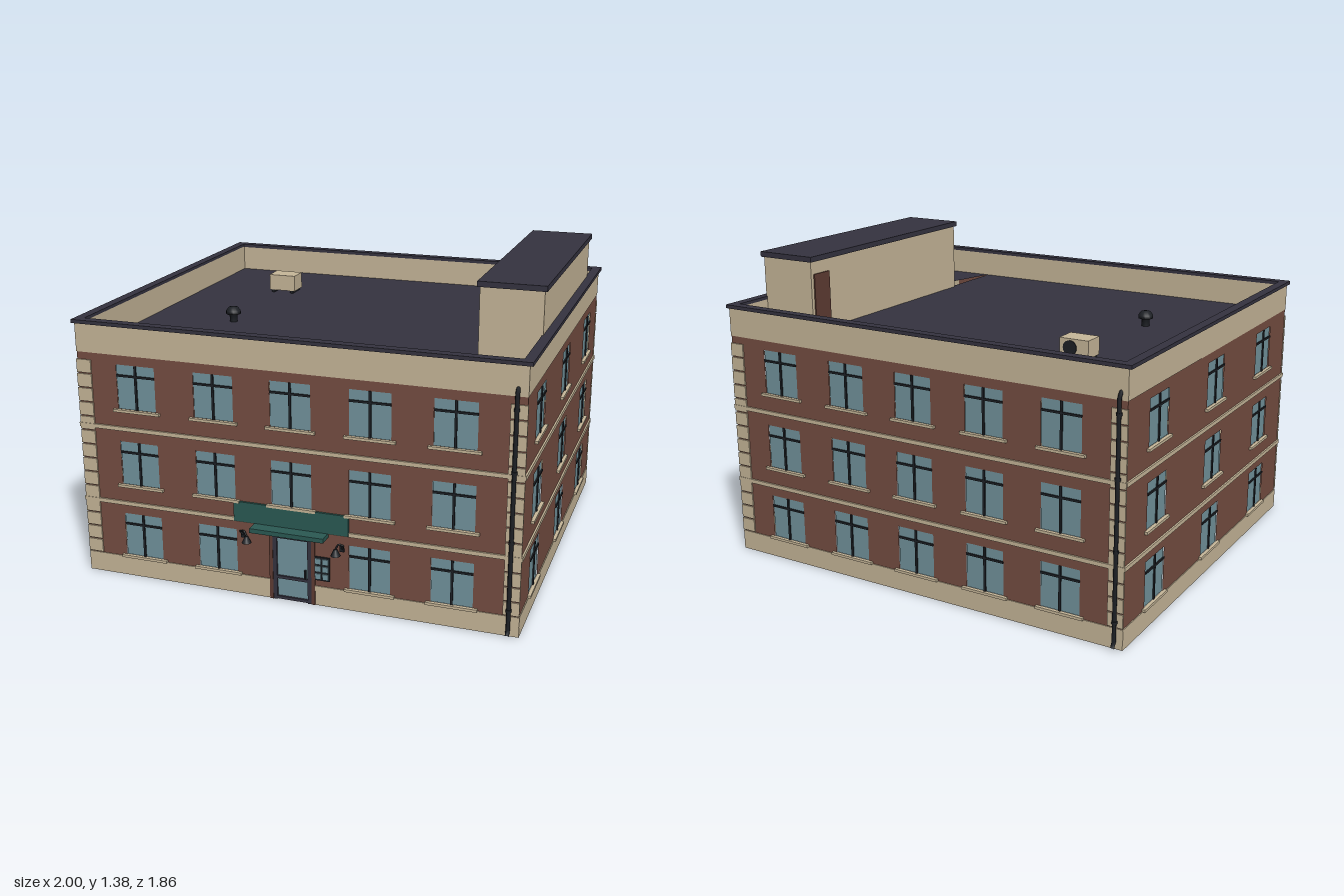
import * as THREE from 'three';

const mat = (name, color, side = THREE.FrontSide) => {
  const m = new THREE.MeshStandardMaterial({ color, side });
  m.name = name;
  return m;
};

export function createModel() {
  const stone = mat('stone', 0xc8b89a);
  const brick = mat('brick', 0x764e42, THREE.DoubleSide);
  const glass = mat('glass', 0x73959e, THREE.DoubleSide);
  const slate = mat('slate', 0x353340, THREE.DoubleSide);
  const iron = mat('iron', 0x1d2025);
  const green = mat('green', 0x2b5a54);
  const wood = mat('wood', 0x5f3c33);

  const model = new THREE.Group();
  model.name = 'apartmentBuilding';

  const add = (parent, name, geo, material, x = 0, y = 0, z = 0) => {
    const m = new THREE.Mesh(geo, material);
    m.name = name;
    m.position.set(x, y, z);
    parent.add(m);
    return m;
  };
  // box given by its min and max along each axis
  const box = (parent, name, material, x0, x1, y0, y1, z0, z1) =>
    add(parent, name, new THREE.BoxGeometry(x1 - x0, y1 - y0, z1 - z0), material,
      (x0 + x1) / 2, (y0 + y1) / 2, (z0 + z1) / 2);
  const poly = (pts) => pts.map(([x, y]) => new THREE.Vector2(x, y));
  const tube = (parent, name, pts, r, material) =>
    add(parent, name, new THREE.TubeGeometry(
      new THREE.CatmullRomCurve3(pts.map((p) => new THREE.Vector3(...p)), false, 'catmullrom', 0.2),
      32, r, 8), material);

  const HX = 0.985, Z0 = -0.9, Z1 = 0.86, ZC = (Z0 + Z1) / 2, HZ = (Z1 - Z0) / 2;
  const floors = [[0.1, 0.3], [0.44, 0.64], [0.79, 0.99]];
  const W = 0.09; // half window width
  const D = 0.088; // half door width

  // One wall in its own plane, facing local +z
  function facade(name, hw, columns, { door = false, quoins = false } = {}) {
    const g = new THREE.Group();
    g.name = name;
    const outline = door
      ? [[-hw, 0.09], [-D, 0.09], [-D, 0.305], [D, 0.305], [D, 0.09], [hw, 0.09], [hw, 1.04], [-hw, 1.04]]
      : [[-hw, 0.09], [hw, 0.09], [hw, 1.04], [-hw, 1.04]];
    const wall = new THREE.Shape(poly(outline));
    floors.forEach(([b, t], f) => columns.forEach((cx) => {
      if (door && f === 0 && cx === 0) return;
      wall.holes.push(new THREE.Path(poly([[cx - W, b], [cx - W, t], [cx + W, t], [cx + W, b]])));
      const win = new THREE.Group();
      win.name = 'window';
      win.position.x = cx;
      g.add(win);
      add(win, 'pane', new THREE.PlaneGeometry(2 * W, t - b), glass, 0, (b + t) / 2, -0.003);
      box(win, 'mullion', iron, -0.005, 0.005, b, t, -0.002, 0.004);
      box(win, 'transom', iron, -W, W, t - 0.053, t - 0.044, -0.002, 0.004);
      box(win, 'sill', stone, -0.11, 0.11, b - 0.012, b, -0.002, 0.014);
    }));
    add(g, 'brickWall', new THREE.ShapeGeometry(wall), brick);

    // stone base, split around the door
    const spans = door ? [[-hw - 0.003, -D], [D, hw + 0.003]] : [[-hw - 0.003, hw + 0.003]];
    spans.forEach(([a, b]) => box(g, 'plinth', stone, a, b, 0, 0.09, -0.004, 0.004));
    for (const y of [0.341, 0.691])
      box(g, 'stringCourse', stone, -hw - 0.006, hw + 0.006, y, y + 0.018, -0.003, 0.008);
    if (quoins) for (const s of [-1, 1]) for (let i = 0; i < 14; i++) {
      const a = s * (hw - 0.066), b = s * (hw + 0.003), y = 0.095 + i * 0.065;
      box(g, 'quoin', stone, Math.min(a, b), Math.max(a, b), y, y + 0.059, -0.003, 0.006);
    }
    model.add(g);
    return g;
  }
  const longColumns = [-0.708, -0.347, 0, 0.347, 0.703];
  const sideColumns = [-0.59, 0, 0.585];
  const front = facade('frontWall', HX, longColumns, { door: true, quoins: true });
  front.position.z = Z1;
  const back = facade('backWall', HX, longColumns, { quoins: true });
  back.position.z = Z0;
  back.rotation.y = Math.PI;
  for (const s of [-1, 1]) {
    const side = facade(s > 0 ? 'leftWall' : 'rightWall', HZ, sideColumns);
    side.position.set(s * HX, 0, ZC);
    side.rotation.y = s * Math.PI / 2;
  }

  // Parapet and dark coping
  const ring = (name, material, ox, oz, inset, y0, y1) => {
    const ix = ox - inset, iz = oz - inset;
    for (const s of [-1, 1]) {
      const ax = s > 0 ? ix : -ox, az = ZC + (s > 0 ? iz : -oz);
      box(model, name, material, ax, ax + inset, y0, y1, ZC - oz, ZC + oz);
      box(model, name, material, -ix, ix, y0, y1, az, az + inset);
    }
  };
  ring('parapet', stone, HX + 0.002, HZ + 0.002, 0.03, 1.032, 1.16);
  ring('coping', slate, 1, HZ + 0.008, 0.043, 1.158, 1.174);

  // Roof deck with the openings at both ends of the stair house
  const deck = new THREE.Shape(poly([[-0.97, -0.84], [0.97, -0.84], [0.97, 0.88], [-0.97, 0.88]]));
  [
    [[0.71, -0.46], [0.808, -0.46], [0.715, -0.822], [0.71, -0.822]],
    [[0.85, -0.46], [0.945, -0.46], [0.945, -0.822], [0.937, -0.822]],
    [[0.71, 0.685], [0.78, 0.685], [0.826, 0.87], [0.71, 0.87]],
    [[0.873, 0.685], [0.95, 0.685], [0.95, 0.87], [0.83, 0.87]],
  ].forEach((h) => deck.holes.push(new THREE.Path(poly(h))));
  add(model, 'roofDeck', new THREE.ShapeGeometry(deck).rotateX(-Math.PI / 2), slate, 0, 1.036, 0);

  // Stair house
  box(model, 'stairHouse', stone, 0.692, 0.962, 1.037, 1.362, -0.682, 0.472);
  box(model, 'stairHouseRoof', slate, 0.682, 0.973, 1.358, 1.382, -0.692, 0.482);
  box(model, 'stairHouseDoor', wood, 0.686, 0.694, 1.038, 1.3, -0.665, -0.56);

  // Entrance door
  const door = new THREE.Group();
  door.name = 'entrance';
  door.position.z = Z1;
  model.add(door);
  add(door, 'doorGlass', new THREE.PlaneGeometry(2 * D, 0.3), glass, 0, 0.153, -0.003);
  for (const s of [-1, 1]) {
    box(door, 'doorStile', slate, s * 0.079 - 0.009, s * 0.079 + 0.009, 0, 0.303, -0.006, 0.006);
    box(door, 'doorSurround', wood, s * 0.096 - 0.008, s * 0.096 + 0.008, 0, 0.315, -0.002, 0.008);
  }
  for (const y of [0.003, 0.1, 0.29])
    box(door, 'doorRail', slate, -0.08, 0.08, y, y + 0.013, -0.006, 0.006);
  box(door, 'doorLintel', wood, -0.104, 0.104, 0.303, 0.317, -0.002, 0.008);
  box(door, 'doorHandle', iron, 0.056, 0.063, 0.115, 0.155, 0, 0.012);

  // Sign board and canopy
  box(door, 'signBoard', green, -0.263, 0.257, 0.345, 0.436, 0.002, 0.012);
  box(door, 'canopy', green, -0.168, 0.165, 0.325, 0.345, 0, 0.068);

  // Letter boxes
  box(door, 'letterBoxPanel', iron, 0.1, 0.172, 0.12, 0.23, 0.002, 0.008);
  for (let r = 0; r < 3; r++) for (let c = 0; c < 2; c++) {
    const x = 0.106 + c * 0.034, y = 0.127 + r * 0.035;
    box(door, 'letterBox', glass, x, x + 0.026, y, y + 0.026, 0.006, 0.013);
  }

  // Gooseneck wall lamps
  for (const s of [-1, 1]) {
    const lamp = new THREE.Group();
    lamp.name = 'wallLamp';
    lamp.position.set(s * 0.215, 0, 0);
    door.add(lamp);
    box(lamp, 'lampPlate', iron, s * 0.01 - 0.01, s * 0.01 + 0.01, 0.268, 0.292, 0, 0.006);
    tube(lamp, 'lampArm', [[s * 0.01, 0.28, 0.004], [s * 0.02, 0.3, 0.012], [0, 0.306, 0.018],
      [-s * 0.012, 0.285, 0.02]], 0.004, iron);
    add(lamp, 'lampShade', new THREE.CylinderGeometry(0.007, 0.021, 0.03, 12), iron, -s * 0.012, 0.269, 0.021);
  }

  // Downpipes on the front left and back right corners
  for (const [x, z, s] of [[0.945, Z1, 1], [-0.955, Z0, -1]]) {
    const pipe = new THREE.Group();
    pipe.name = 'downpipe';
    pipe.position.set(x, 0, z);
    pipe.scale.z = 1;
    model.add(pipe);
    tube(pipe, 'pipe', [[0, 1.068, -s * 0.004], [0, 1.06, s * 0.01], [0, 1.03, s * 0.014], [0, 0.5, s * 0.014],
      [0, 0.04, s * 0.014], [0, 0.018, s * 0.019], [0, 0.01, s * 0.028]], 0.009, iron);
    for (const y of [0.12, 0.42, 0.72, 0.98])
      add(pipe, 'pipeClamp', new THREE.CylinderGeometry(0.012, 0.012, 0.012, 10), iron, 0, y, s * 0.013);
  }

  // Rooftop cooling unit with a grille at its back
  const unit = new THREE.Group();
  unit.name = 'coolingUnit';
  unit.position.set(-0.543, 1.036, -0.455);
  model.add(unit);
  box(unit, 'unitBody', stone, -0.068, 0.068, 0.012, 0.09, -0.05, 0.05);
  add(unit, 'unitGrille', new THREE.CylinderGeometry(0.032, 0.032, 0.006, 20).rotateX(Math.PI / 2), iron, 0.018, 0.051, -0.051);
  for (const x of [-0.05, 0.05]) box(unit, 'unitFoot', iron, x - 0.008, x + 0.008, 0, 0.012, -0.048, 0.048);

  // Roof vent with a mushroom cap
  const vent = [[0.018, 0], [0.018, 0.035], [0.034, 0.037], [0.034, 0.052], [0.022, 0.068], [0, 0.072]];
  add(model, 'roofVent', new THREE.LatheGeometry(poly(vent), 16), iron, -0.545, 1.036, 0.195);

  return model;
}
